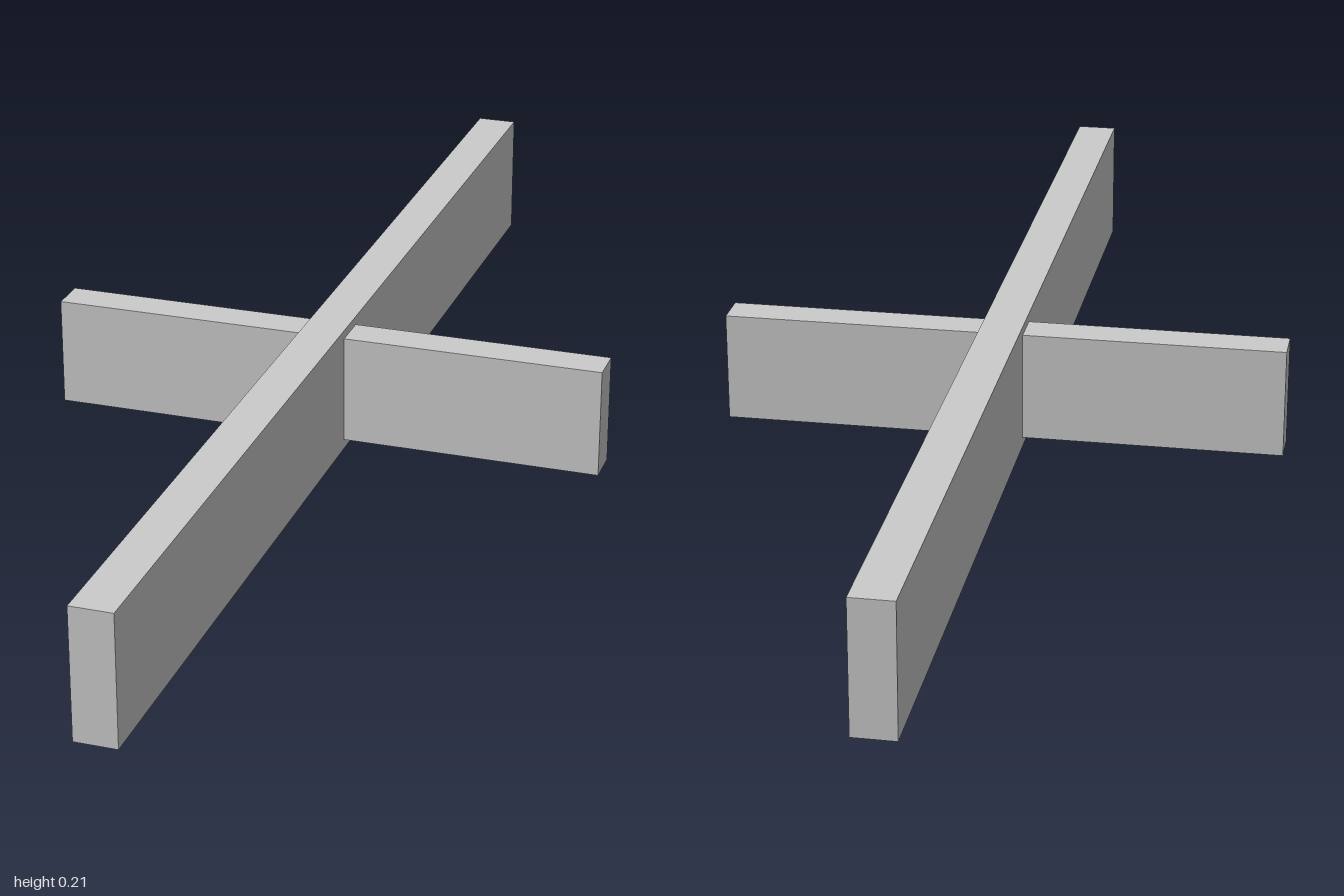
import * as THREE from 'three';

export function createModel() {
  const model = new THREE.Group();
  const material = new THREE.MeshStandardMaterial({ color: 0xcccccc });

  // A straight plank standing on edge, placed by the height of its underside
  function addPlank(name, width, height, depth, bottom) {
    const plank = new THREE.Mesh(new THREE.BoxGeometry(width, height, depth), material);
    plank.name = name;
    plank.position.y = bottom + height / 2;
    model.add(plank);
  }

  // Long plank running front to back
  addPlank('longPlank', 0.066, 0.206, 2, 0);
  // Shorter, slightly lower plank crossing it in the middle
  addPlank('crossPlank', 0.9, 0.176, 0.06, 0.016);

  return model;
}
